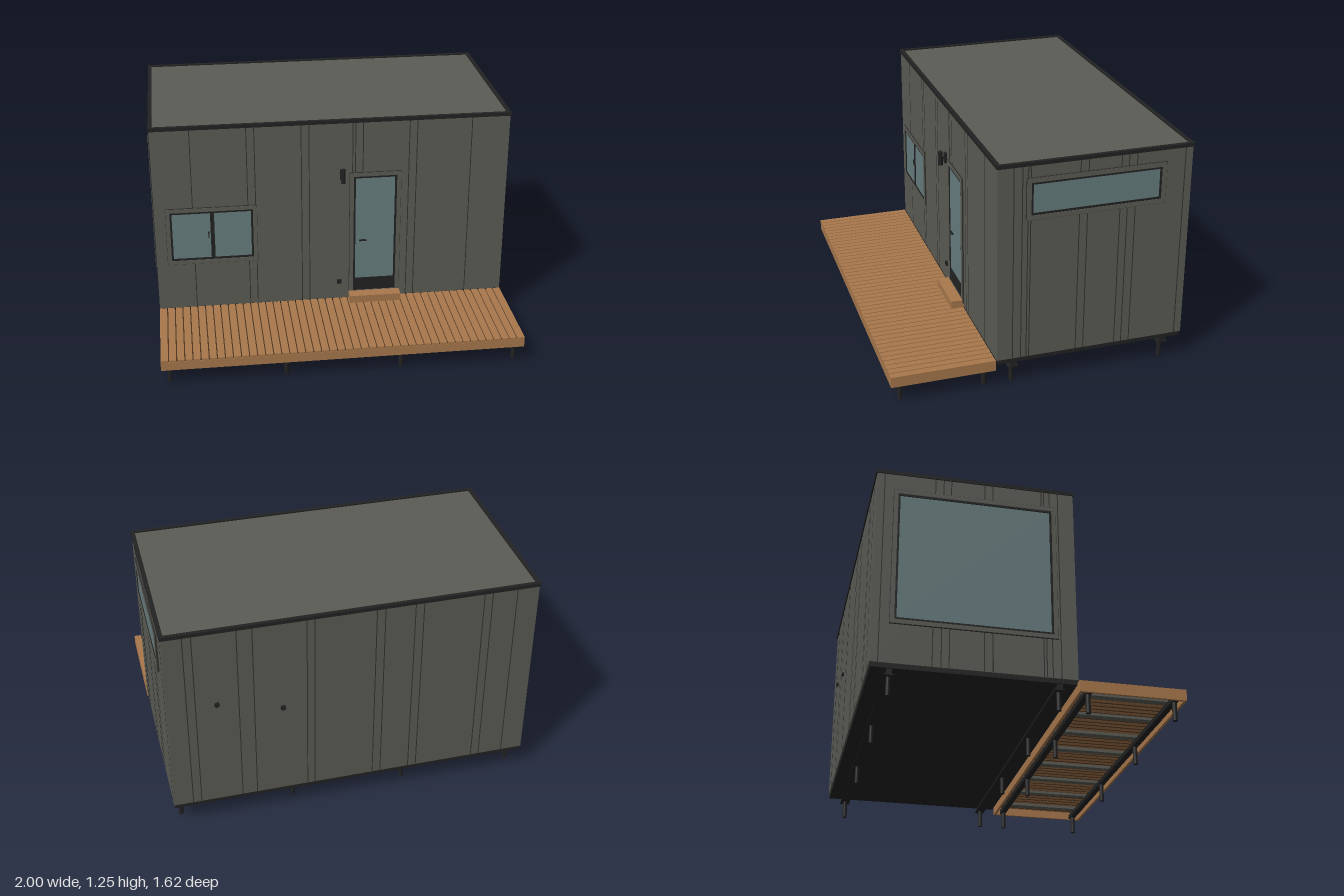
import * as THREE from 'three';

const mat = (name, color) => Object.assign(new THREE.MeshStandardMaterial({ color }), { name });

export function createModel() {
  const cladding = mat('grey cladding', 0x5c5c56);
  const seamMat = mat('cladding seam', 0x32322f);
  const dark = mat('dark metal', 0x222222);
  const wood = mat('deck wood', 0xa8784c);
  const gapMat = mat('deck gap', 0x4c331e);
  const glass = mat('window glass', 0x687e80);

  const model = new THREE.Group();
  model.name = 'cabin';

  const group = (name, parent = model) => {
    const g = new THREE.Group();
    g.name = name;
    parent.add(g);
    return g;
  };
  // box given by its min and max on each axis
  const box = (parent, name, m, x0, x1, y0, y1, z0, z1) => {
    const mesh = new THREE.Mesh(new THREE.BoxGeometry(x1 - x0, y1 - y0, z1 - z0), m);
    mesh.position.set((x0 + x1) / 2, (y0 + y1) / 2, (z0 + z1) / 2);
    mesh.name = name;
    parent.add(mesh);
    return mesh;
  };
  const cylinder = (parent, name, m, r, h, x, y, z) => {
    const mesh = new THREE.Mesh(new THREE.CylinderGeometry(r, r, h, 16), m);
    mesh.position.set(x, y, z);
    mesh.name = name;
    parent.add(mesh);
    return mesh;
  };
  // rectangular frame of width w, inside the given outline
  const frame = (parent, name, m, x0, x1, y0, y1, w, z0, z1) => {
    const shape = new THREE.Shape();
    shape.moveTo(x0, y0).lineTo(x1, y0).lineTo(x1, y1).lineTo(x0, y1).closePath();
    const hole = new THREE.Path();
    hole.moveTo(x0 + w, y0 + w).lineTo(x0 + w, y1 - w).lineTo(x1 - w, y1 - w).lineTo(x1 - w, y0 + w).closePath();
    shape.holes.push(hole);
    const mesh = new THREE.Mesh(new THREE.ExtrudeGeometry(shape, { depth: z1 - z0, bevelEnabled: false }), m);
    mesh.position.z = z0;
    mesh.name = name;
    parent.add(mesh);
    return mesh;
  };

  // body
  const X0 = -0.99, X1 = 0.985, Z0 = -0.8, Z1 = 0.245;
  const body = group('body');
  box(body, 'walls', cladding, X0, X1, 0.155, 1.238, Z0, Z1);
  box(body, 'floorFrame', dark, X0 + 0.005, X1 - 0.005, 0.13, 0.156, Z0 + 0.006, Z1 - 0.006);

  // roof edge: frame laid flat around the roof
  const trim = frame(body, 'roofTrim', dark, X0 - 0.005, X1 + 0.005, -0.25, 0.806, 0.021, 0, 0.02);
  trim.rotation.x = -Math.PI / 2;
  trim.position.y = 1.234;
  box(body, 'roof', cladding, X0 + 0.01, X1 - 0.01, 1.23, 1.247, Z0 + 0.01, Z1 - 0.01);

  // vertical cladding seams
  const seams = group('claddingSeams', body);
  const s = 0.0025, e = 0.001;
  for (const x of [-0.778, -0.473, -0.43, -0.174, -0.131, 0.11, 0.126, 0.168, 0.425, 0.468, 0.773])
    box(seams, 'frontSeam', seamMat, x - s, x + s, 0.157, 1.235, Z1 - e, Z1 + e);
  for (const x of [0.88, 0.835, 0.61, 0.53, 0.25, 0.21, -0.115, -0.16, -0.32, -0.365, -0.69, -0.735, -0.87])
    box(seams, 'backSeam', seamMat, x - s, x + s, 0.157, 1.235, Z0 - e, Z0 + e);
  for (const z of [0.16, 0.115, 0.085, 0.07, -0.19, -0.233, -0.41, -0.45, -0.494, -0.76])
    for (const x of [X0, X1])
      box(seams, 'sideSeam', seamMat, x - e, x + e, 0.157, 1.235, z - s, z + s);

  // window: grey casing, dark frame and glass, facing local +z
  const makeWindow = (name, x0, x1, y0, y1, casing) => {
    const g = group(name);
    frame(g, 'casing', cladding, x0, x1, y0, y1, casing, -0.002, 0.01);
    frame(g, 'casingOutline', seamMat, x0 - 0.002, x1 + 0.002, y0 - 0.002, y1 + 0.002, 0.004, -0.002, 0.008);
    const c = casing - 0.001;
    frame(g, 'sash', dark, x0 + c, x1 - c, y0 + c, y1 - c, 0.012, -0.002, 0.007);
    box(g, 'glass', glass, x0 + c + 0.008, x1 - c - 0.008, y0 + c + 0.008, y1 - c - 0.008, -0.001, 0.003);
    return g;
  };

  // sliding front window
  const front = makeWindow('frontWindow', -0.928, -0.425, 0.435, 0.774, 0.022);
  box(front, 'mullion', dark, -0.684, -0.662, 0.46, 0.75, 0, 0.007);
  box(front, 'windowHandle', dark, -0.698, -0.691, 0.59, 0.628, 0, 0.01);
  front.position.z = Z1;

  // long high window on one end, tall picture window on the other
  const high = makeWindow('highWindow', -0.095, 0.655, 0.945, 1.17, 0.024);
  high.position.x = X1 + 0.002;
  high.rotation.y = Math.PI / 2;
  const picture = makeWindow('pictureWindow', -0.71, 0.145, 0.37, 1.14, 0.022);
  picture.position.x = X0;
  picture.rotation.y = -Math.PI / 2;

  // glazed door
  const door = makeWindow('door', 0.095, 0.382, 0.18, 0.938, 0.022);
  box(door, 'kickPanel', dark, 0.12, 0.357, 0.2, 0.28, 0, 0.006);
  box(door, 'doorHandle', dark, 0.15, 0.19, 0.518, 0.525, 0, 0.014);
  door.position.z = Z1;

  // wall lamp and socket beside the door
  const lamp = group('wallLamp');
  box(lamp, 'lampPlate', dark, 0.04, 0.064, 0.905, 0.965, Z1, 0.26);
  box(lamp, 'lampArm', dark, 0.048, 0.056, 0.93, 0.94, 0.25, 0.28);
  cylinder(lamp, 'lampTube', dark, 0.0135, 0.08, 0.053, 0.935, 0.281);
  box(model, 'socket', dark, 0.025, 0.05, 0.25, 0.276, Z1, 0.255);

  // round vents on the back
  for (const [x, y] of [[0.725, 0.793], [0.38, 0.706]])
    cylinder(model, 'backVent', dark, 0.014, 0.014, x, y, Z0 - 0.004).rotation.x = Math.PI / 2;

  // I-beams and posts under the cabin
  const postX = [-0.945, -0.318, 0.311, 0.94];
  const base = group('foundation');
  for (const z of [0.152, -0.7]) {
    box(base, 'beamWeb', dark, X0 + 0.01, X1 - 0.01, 0.1, 0.131, z - 0.014, z + 0.014);
    box(base, 'beamFlange', dark, X0 + 0.01, X1 - 0.01, 0.097, 0.102, z - 0.027, z + 0.027);
    for (const x of postX) cylinder(base, 'cabinPost', dark, 0.0125, 0.1, x, 0.05, z);
  }

  // deck: boards over a border, joists, rails and posts
  const deck = group('deck');
  const D0 = 0.25, D1 = 0.81, count = 46, pitch = (X1 - X0) / count;
  for (let i = 0; i < count; i++) {
    const x = X0 + i * pitch;
    box(deck, 'deckBoard', wood, x + (i ? 0.003 : 0), x + pitch - (i < count - 1 ? 0.003 : 0), 0.142, 0.157, D0, D1);
    if (i) box(deck, 'boardGap', gapMat, x - 0.004, x + 0.004, 0.14, 0.15, D0 + 0.01, D1 - 0.01);
  }
  box(deck, 'frontFascia', wood, X0, X1, 0.097, 0.143, D1 - 0.014, D1);
  box(deck, 'backFascia', wood, X0, X1, 0.097, 0.143, D0, D0 + 0.014);
  for (const x of [X0, X1 - 0.014]) box(deck, 'sideFascia', wood, x, x + 0.014, 0.097, 0.143, D0 + 0.014, D1 - 0.014);
  for (let i = 0; i < 8; i++) {
    const x = -0.87 + i * 0.248;
    box(deck, 'joist', cladding, x - 0.022, x + 0.022, 0.125, 0.141, D0 + 0.014, D1 - 0.014);
  }
  for (const z of [0.303, 0.757]) {
    box(deck, 'deckRail', dark, X0 + 0.014, X1 - 0.014, 0.1, 0.126, z - 0.016, z + 0.016);
    for (const x of postX) cylinder(deck, 'deckPost', dark, 0.0125, 0.12, x, 0.06, z);
  }

  // door step
  box(model, 'doorStep', wood, 0.092, 0.383, 0.157, 0.2, 0.247, 0.32);

  return model;
}
